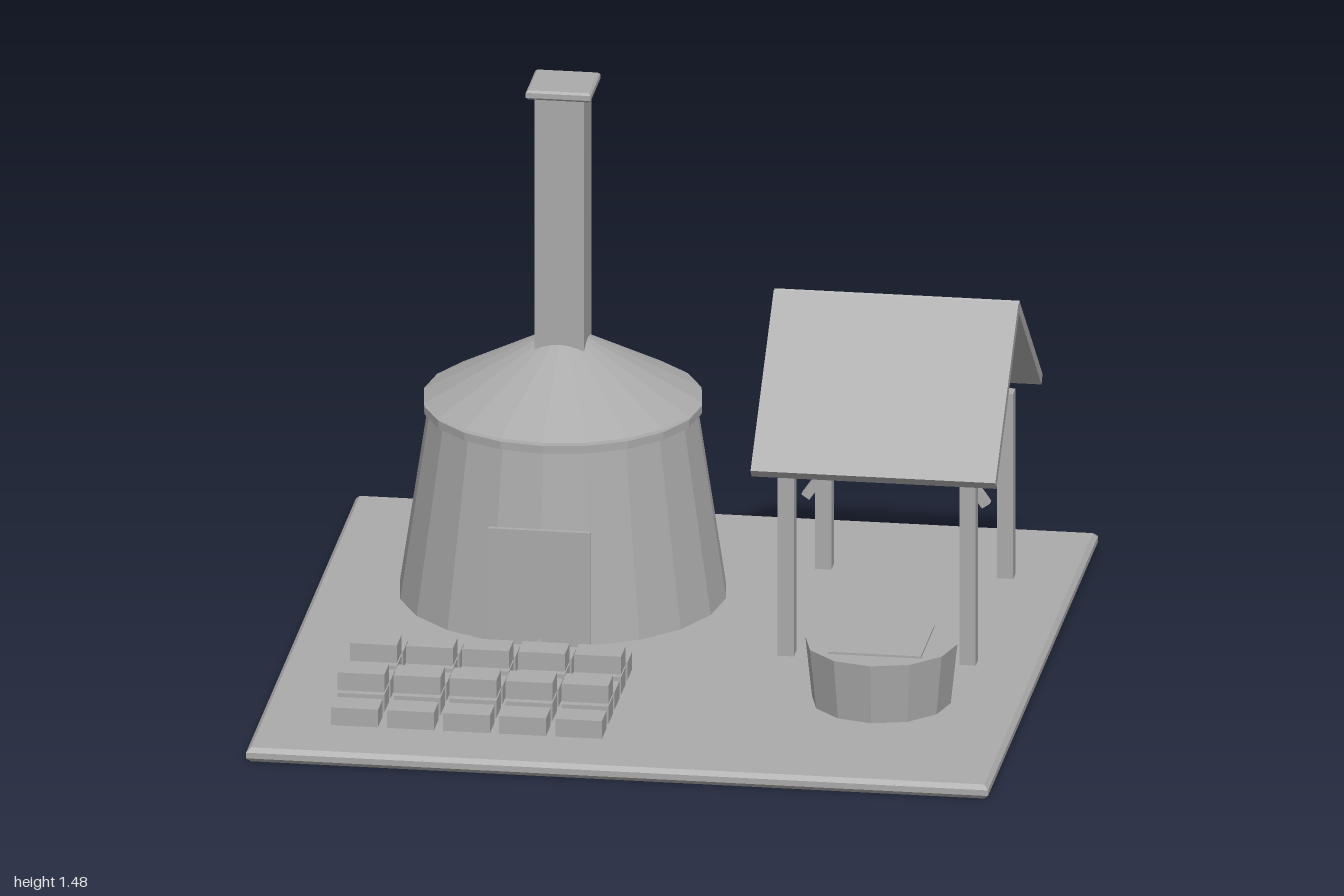
import * as THREE from 'three';

const stone = new THREE.MeshStandardMaterial({ color: 0xaaaaaa, flatShading: true });
stone.name = 'stone grey';

function add(parent, name, geometry, x, y, z) {
  const mesh = new THREE.Mesh(geometry, stone);
  mesh.name = name;
  mesh.position.set(x, y, z);
  parent.add(mesh);
  return mesh;
}

const box = (w, h, d) => new THREE.BoxGeometry(w, h, d);

// Flat slab with chamfered edges, standing on its own y = 0
function chamferedSlab(w, h, d, bevel) {
  const a = w / 2 - bevel, b = d / 2 - bevel;
  const shape = new THREE.Shape([
    new THREE.Vector2(-a, -b), new THREE.Vector2(a, -b),
    new THREE.Vector2(a, b), new THREE.Vector2(-a, b),
  ]);
  const geometry = new THREE.ExtrudeGeometry(shape, {
    depth: h - 2 * bevel, bevelEnabled: true, bevelSegments: 1,
    bevelSize: bevel, bevelThickness: bevel,
  });
  return geometry.rotateX(-Math.PI / 2).translate(0, bevel, 0);
}

function group(parent, name, x, z) {
  const g = new THREE.Group();
  g.name = name;
  g.position.set(x, 0, z);
  parent.add(g);
  return g;
}

export function createModel() {
  const model = new THREE.Group();
  model.name = 'brickKilnYard';
  add(model, 'base', chamferedSlab(2, 0.04, 2, 0.012), 0, 0, 0);

  // Kiln: tapered wall, rim, conical roof, chimney and door
  const kiln = group(model, 'kiln', -0.345, -0.345);
  add(kiln, 'kilnWall', new THREE.CylinderGeometry(0.36, 0.44, 0.53, 20), 0, 0.305, 0);
  add(kiln, 'kilnRim', new THREE.CylinderGeometry(0.375, 0.375, 0.022, 20), 0, 0.572, 0);
  add(kiln, 'kilnRoof', new THREE.ConeGeometry(0.375, 0.203, 20), 0, 0.6935, 0);
  add(kiln, 'chimney', box(0.133, 0.75, 0.133), 0, 1.08, 0);
  add(kiln, 'chimneyCap', chamferedSlab(0.175, 0.026, 0.175, 0.006), 0, 1.457, 0);
  add(kiln, 'kilnDoor', box(0.275, 0.325, 0.014), 0, 0.2025, 0.43);

  // Drying bricks: every second row is stacked two high
  const bricks = group(model, 'bricks', -0.435, 0.528);
  const brick = box(0.126, 0.05, 0.084);
  for (let row = -2; row <= 2; row++) {
    const layers = row % 2 ? 2 : 1;
    for (let col = -2; col <= 2; col++) {
      for (let layer = 0; layer < layers; layer++) {
        add(bricks, 'brick', brick, col * 0.151, 0.07 + layer * 0.058, row * 0.115);
      }
    }
  }

  // Clay tub with a square board on top
  const tub = group(model, 'tub', 0.62, 0.375);
  add(tub, 'tubBody', new THREE.CylinderGeometry(0.205, 0.187, 0.168, 12), 0, 0.124, 0);
  add(tub, 'tubBoard', box(0.25, 0.012, 0.25), 0, 0.208, 0);

  // Open shed: four posts, two braces, gabled roof
  const shed = group(model, 'shed', 0.563, -0.285);
  const pitch = THREE.MathUtils.degToRad(40.5);
  for (const side of [-1, 1]) {
    for (const end of [-1, 1]) {
      add(shed, 'post', box(0.044, 0.527, 0.044), side * 0.245, 0.3015, end * 0.341);
    }
    const brace = add(shed, 'brace', box(0.026, 0.246, 0.026), side * 0.173, 0.4675, 0.005);
    brace.rotation.z = side * THREE.MathUtils.degToRad(35);
    const panel = add(shed, 'roofPanel', box(0.66, 0.03, 0.555), 0, 0.754, side * 0.209);
    panel.rotation.x = side * pitch;
  }

  return model;
}
